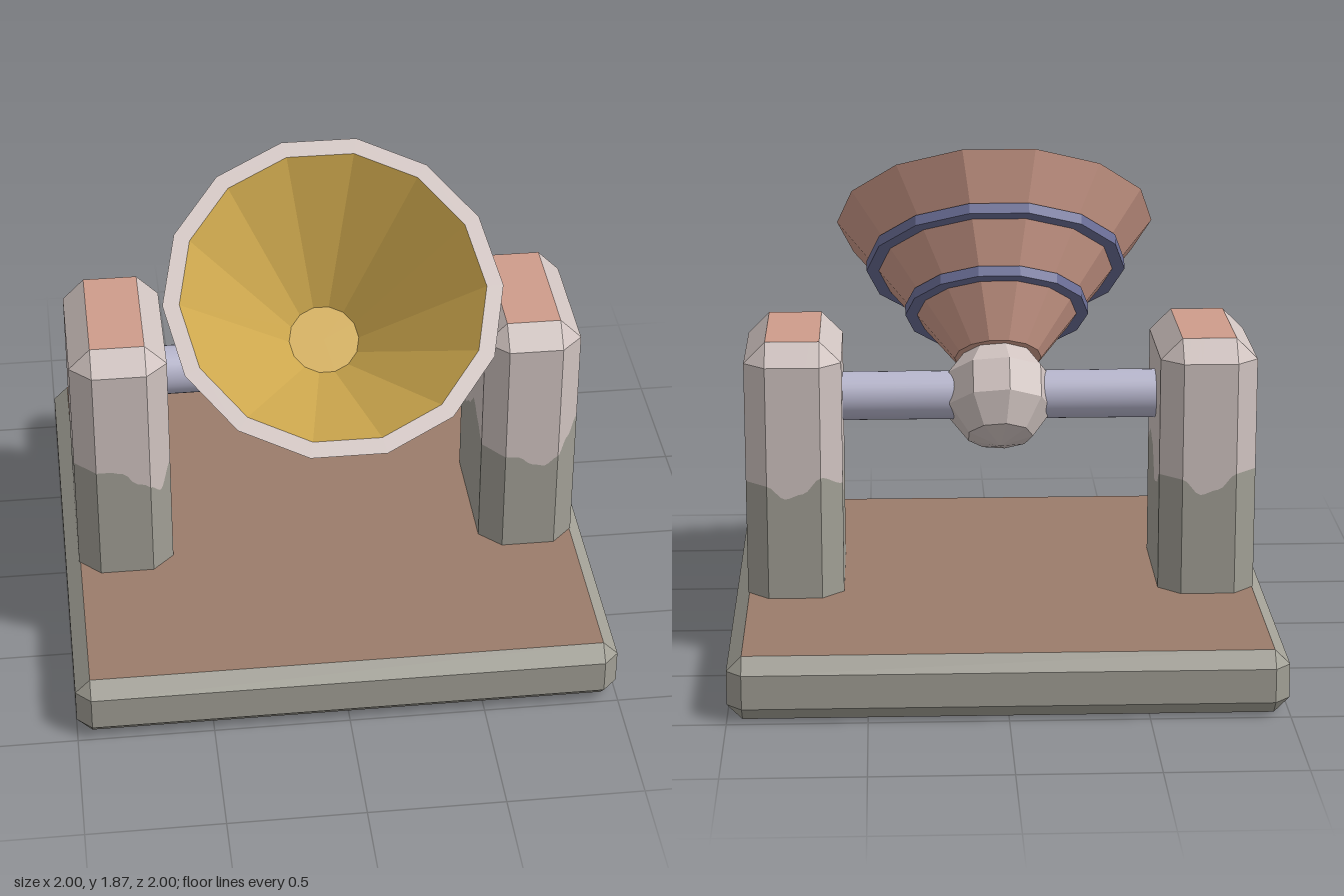
import * as THREE from 'three';

const material = (name, color) => {
  const m = new THREE.MeshStandardMaterial({ color });
  m.name = name;
  return m;
};

// Faceted copy of a geometry
function flat(geometry) {
  const g = geometry.index ? geometry.toNonIndexed() : geometry;
  g.computeVertexNormals();
  return g;
}

// Wall between successive rings of points, listed bottom to top
function loft(rings) {
  const pos = [];
  const tri = (a, b, c) => {
    const area = b.clone().sub(a).cross(c.clone().sub(a)).length();
    if (area > 1e-9) for (const p of [a, b, c]) pos.push(p.x, p.y, p.z);
  };
  for (let r = 0; r < rings.length - 1; r++) {
    const lo = rings[r], hi = rings[r + 1], n = lo.length;
    for (let i = 0; i < n; i++) {
      const j = (i + 1) % n;
      tri(lo[i], lo[j], hi[j]);
      tri(lo[i], hi[j], hi[i]);
    }
  }
  const g = new THREE.BufferGeometry();
  g.setAttribute('position', new THREE.Float32BufferAttribute(pos, 3));
  g.computeVertexNormals();
  return g;
}

// Corners of a rectangle with cut corners, starting at the front face
function octagon(w, d, c) {
  return [[-w + c, d], [w - c, d], [w, d - c], [w, -d + c],
    [w - c, -d], [-w + c, -d], [-w, -d + c], [-w, d - c]];
}
const ringAt = (points, y) => points.map(([x, z]) => new THREE.Vector3(x, y, z));
const clampRing = (points, w, d) => points.map(([x, z]) =>
  [THREE.MathUtils.clamp(x, -w, w), THREE.MathUtils.clamp(z, -d, d)]);

// Smoothly blended value from a short list of heights
function sample(list, t) {
  const f = t * (list.length - 1);
  const i = Math.min(Math.floor(f), list.length - 2);
  return THREE.MathUtils.lerp(list[i], list[i + 1], THREE.MathUtils.smoothstep(f - i, 0, 1));
}

export function createModel() {
  const stone = material('grey stone', 0xa19f95);
  const pale = material('pale stone', 0xd0c3c0);
  const clay = material('pink clay', 0xcf9c8b);
  const earth = material('brown earth', 0x9b7c6b);
  const steel = material('lavender steel', 0xb6b5cc);
  const blue = material('slate blue', 0x6b6e96);
  const gold = material('gold', 0xcfa94e);

  const model = new THREE.Group();
  const add = (parent, name, geometry, mat) => {
    const mesh = new THREE.Mesh(geometry, mat);
    mesh.name = name;
    parent.add(mesh);
    return mesh;
  };

  // Base slab with chamfered edges and brown faces
  const edge = 0.055, slabTop = 0.235;
  const slab = octagon(1, 1, edge);
  const slabInset = clampRing(slab, 1 - edge, 1 - edge);
  add(model, 'baseSides', loft([ringAt(slabInset, 0), ringAt(slab, edge),
    ringAt(slab, slabTop - edge), ringAt(slabInset, slabTop)]), stone);
  const slabFace = new THREE.PlaneGeometry(2 - 2 * edge, 2 - 2 * edge);
  add(model, 'baseTop', slabFace.clone().rotateX(-Math.PI / 2).translate(0, slabTop, 0), earth);
  add(model, 'baseUnderside', slabFace.clone().rotateX(Math.PI / 2), earth);

  // Pillars: wavy colour border, one height list for each of the eight faces
  const waves = {
    left: [[.65, .645, .61, .6, .64], [.64, .7, .77],
      [.76, .74, .735, .7, .66, .61, .575, .6, .67], [.67, .67],
      [.67, .62, .64, .7], [.7, .66], [.66, .6, .66, .74, .7, .66], [.66, .65]],
    right: [[.7, .7, .69, .64, .63], [.62, .58, .68],
      [.68, .75, .72, .6, .62, .68], [.68, .68],
      [.68, .62, .64, .7], [.7, .7], [.7, .76, .66, .58, .66, .72, .7], [.7, .7]],
  };
  const cut = 0.08, steps = 12;
  for (const [side, x] of [['left', 0.77], ['right', -0.77]]) {
    const pillar = new THREE.Group();
    pillar.name = side + 'Pillar';
    pillar.position.x = x;
    const corners = octagon(0.18, 0.32, cut);
    const outline = [], border = [];
    corners.forEach(([x0, z0], f) => {
      const [x1, z1] = corners[(f + 1) % 8];
      for (let s = 0; s < steps; s++) {
        const t = s / steps;
        outline.push([x0 + (x1 - x0) * t, z0 + (z1 - z0) * t]);
        border.push(sample(waves[side][f], t));
      }
    });
    const waveRing = outline.map(([px, pz], i) => new THREE.Vector3(px, border[i], pz));
    const topRing = clampRing(outline, 0.18 - cut, 0.32 - cut);
    add(pillar, 'pillarLower', loft([ringAt(outline, slabTop), waveRing]), stone);
    add(pillar, 'pillarUpper', loft([waveRing, ringAt(outline, 1.12), ringAt(topRing, 1.2)]), pale);
    add(pillar, 'pillarTop', new THREE.PlaneGeometry(0.2, 0.48)
      .rotateX(-Math.PI / 2).translate(0, 1.2, 0), clay);
    model.add(pillar);
  }

  // Axle between the pillars
  const pivotY = 0.93;
  add(model, 'axle', new THREE.CylinderGeometry(0.092, 0.092, 1.2, 32)
    .rotateZ(Math.PI / 2).translate(0, pivotY, 0), steel);

  // Tilted horn on its hub
  const horn = new THREE.Group();
  horn.name = 'horn';
  horn.position.y = pivotY;
  horn.rotation.x = THREE.MathUtils.degToRad(38);
  model.add(horn);
  const sides = 14;
  const turned = (points) => flat(new THREE.LatheGeometry(
    points.map(([r, y]) => new THREE.Vector2(r, y)), sides, Math.PI / sides));

  add(horn, 'hub', flat(new THREE.SphereGeometry(0.212, 9, 5)), pale);
  add(horn, 'hornShell', turned([[0, 0.15], [0.165, 0.15], [0.61, 0.73]]), clay);
  add(horn, 'hornRim', turned([[0.61, 0.73], [0.55, 0.73]]), pale);
  add(horn, 'hornLining', turned([[0.55, 0.73], [0.13, 0.24], [0, 0.24]]), gold);

  // Bands around the horn
  for (const [r, y] of [[0.497, 0.542], [0.35, 0.353]]) {
    const h = 0.021, inner = r - 0.07;
    add(horn, 'hornBand', turned([[inner, y - h], [r, y - h], [r, y + h], [inner, y + h]]), blue);
  }

  return model;
}
